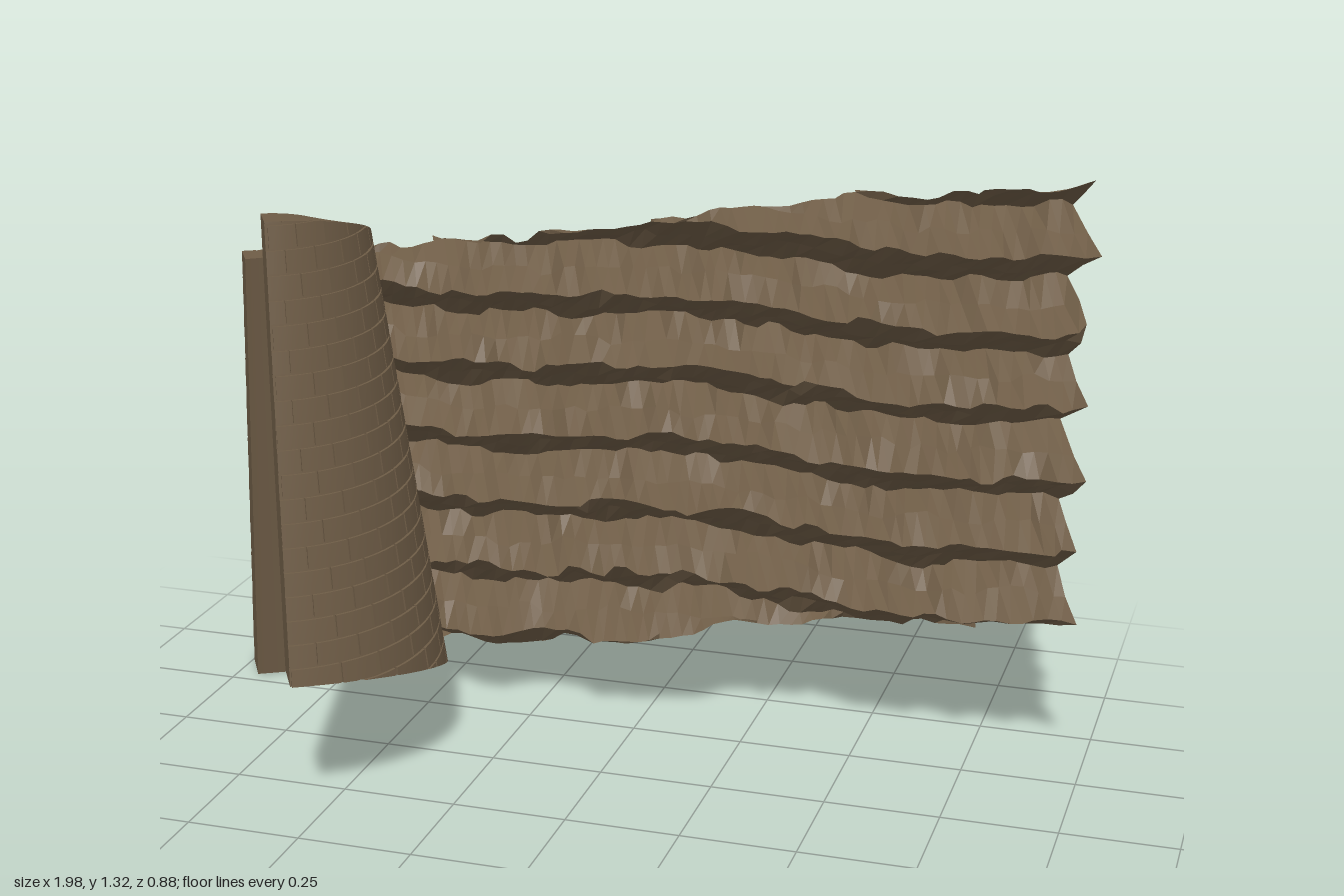
import * as THREE from 'three';
import { mergeGeometries } from 'three/addons/utils/BufferGeometryUtils.js';

const lerp = THREE.MathUtils.lerp, clamp = THREE.MathUtils.clamp;
const SLOPE = 0.33; // ground slope along the cut of the tower

// Repeatable noise in -1..1
const noise = (i, j) => {
  const s = Math.sin(i * 127.1 + j * 311.7) * 43758.5453;
  return (s - Math.floor(s)) * 2 - 1;
};

const bottomY = (a) => 0.155 + SLOPE * 0.468 * Math.cos(a);
const topY = (a) => 1.155 + SLOPE * 0.3 * Math.cos(a);

// Point on the tapering half tower: angle 0..PI, height, depth 0 (outside) to 1 (inside)
function towerPoint(angle, y, depth) {
  const t = (y - bottomY(angle)) / (topY(angle) - bottomY(angle));
  const long = lerp(lerp(0.468, 0.30, t), lerp(0.37, 0.22, t), depth) * Math.cos(angle);
  const wide = lerp(lerp(0.395, 0.25, t), lerp(0.30, 0.165, t), depth) * Math.sin(angle);
  return [
    lerp(-0.765, -0.76, t) + 0.5 * long + 0.866 * wide, y,
    lerp(0.035, 0.045, t) + 0.866 * long - 0.5 * wide,
  ];
}

// Curved block bent into the tower wall, trimmed by its sloping ends
function towerBlock(a0, a1, y0, y1, d0, d1, segments) {
  const g = new THREE.BoxGeometry(1, 1, 1, segments, 1, 1);
  const p = g.attributes.position;
  for (let i = 0; i < p.count; i++) {
    const a = lerp(a0, a1, p.getX(i) + 0.5);
    const y = clamp(lerp(y0, y1, p.getY(i) + 0.5), bottomY(a), topY(a));
    p.setXYZ(i, ...towerPoint(a, y, lerp(d1, d0, p.getZ(i) + 0.5)));
  }
  g.computeVertexNormals();
  return g;
}

function towerBricks() {
  const bricks = [], rowHeight = 0.05, length = Math.PI / 12, joint = 0.007;
  for (let row = 0; row < 26; row++) {
    const y0 = row * rowHeight, y1 = y0 + rowHeight - 0.005;
    for (let k = 0; k < 13; k++) {
      const start = (k - (row % 2) * 0.5 + noise(row, k) * 0.08) * length;
      const end = (k + 1 - (row % 2) * 0.5 + noise(row, k + 1) * 0.08) * length;
      const a0 = Math.max(0, start + joint), a1 = Math.min(Math.PI, end - joint);
      if (a1 - a0 < 0.03) continue;
      if (y1 <= Math.min(bottomY(a0), bottomY(a1)) || y0 >= Math.max(topY(a0), topY(a1))) continue;
      bricks.push(towerBlock(a0, a1, y0, y1, 0, 0.12, 3));
    }
  }
  return mergeGeometries(bricks);
}

// Folded rock sheet: level ridges, with sloping upper and lower edges
function foldedWall() {
  const nx = 64, ny = 34, step = 0.04, period = 0.16;
  const pos = [], heights = [], index = [];
  for (let i = 0; i <= nx; i++) {
    const x0 = lerp(-0.79, 0.94, i / nx);
    const low = 0.2 + 0.165 * x0, high = low + 0.96;
    for (let j = 0; j <= ny; j++) {
      const y = clamp(j * step, low, high);
      heights.push(y);
      // Triangle wave, forward at the ridges and back in the folds
      const phase = (((y - 0.36) / period) % 1 + 1) % 1;
      const wave = Math.abs(phase - 0.5) * 4 - 1;
      const size = 0.068 + 0.014 * Math.sin(x0 * 17 + Math.round(y / period) * 2.3);
      const z = -0.34 + wave * size + noise(i, j) * 0.012 + 0.012 * Math.sin(x0 * 24 + j);
      const wander = 0.016 * Math.sin(x0 * 6 + 1) + 0.01 * noise(i >> 1, j + 50);
      pos.push(x0 + (z + 0.34) * 0.5, y + wander, z);
    }
  }
  for (let i = 0; i < nx; i++) {
    for (let j = 0; j < ny; j++) {
      const a = i * (ny + 1) + j, b = a + ny + 1;
      if (heights[a + 1] - heights[a] < 1e-4 && heights[b + 1] - heights[b] < 1e-4) continue;
      index.push(a, b, b + 1, a, b + 1, a + 1);
    }
  }
  const g = new THREE.BufferGeometry();
  g.setAttribute('position', new THREE.Float32BufferAttribute(pos, 3));
  g.setIndex(index);
  g.computeVertexNormals();
  return g;
}

export function createModel() {
  const model = new THREE.Group();
  const color = 0x6e5c46;
  const stone = new THREE.MeshStandardMaterial({ color });
  const rock = new THREE.MeshStandardMaterial({ color, flatShading: true, side: THREE.DoubleSide });
  const add = (name, geometry, material) => {
    const mesh = new THREE.Mesh(geometry, material);
    mesh.name = name;
    model.add(mesh);
    return mesh;
  };

  // Half tower: smooth lining with raised bricks outside
  add('towerLining', towerBlock(0, Math.PI, -1, 2, 0.06, 1, 32), stone);
  add('towerBricks', towerBricks(), stone);

  // Stones standing out of the inner face
  add('innerStone', towerBlock(1.95, 2.3, 0.13, 0.18, 0.9, 1.2, 3), stone);
  add('smallInnerStone', towerBlock(2.1, 2.2, 0.28, 0.30, 0.9, 1.12, 2), stone);

  add('foldedWall', foldedWall(), rock);
  return model;
}
